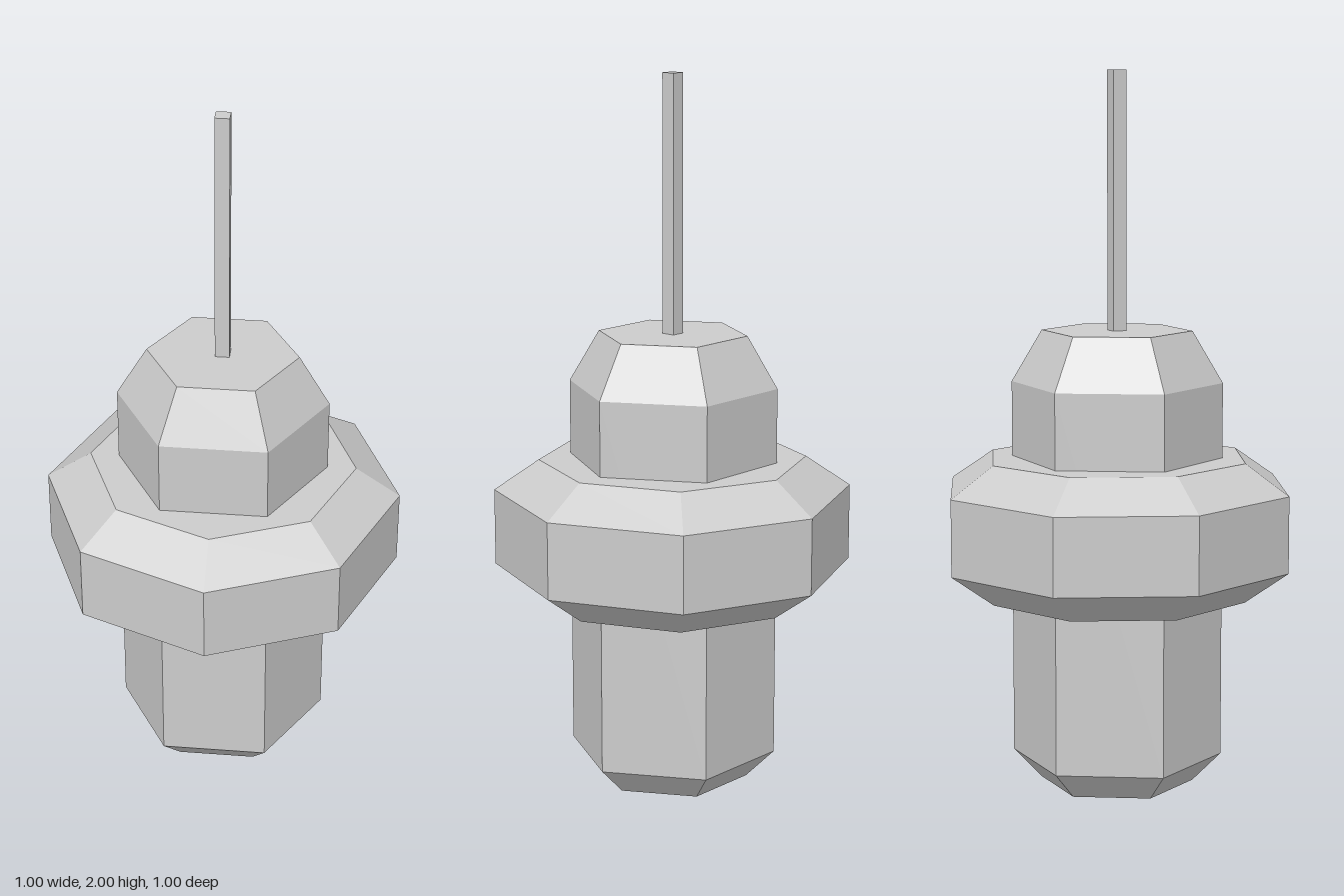
import * as THREE from 'three';

export function createModel() {
  const model = new THREE.Group();
  model.name = 'spaceStation';

  const hull = new THREE.MeshStandardMaterial({ color: 0xcccccc, flatShading: true });
  hull.name = 'light grey hull';

  // Faceted solid turned from [radius, height] pairs, listed bottom to top, with a corner on +x
  function facetedSolid(name, sides, profile) {
    const points = profile.map(([r, y]) => new THREE.Vector2(r, y));
    const geometry = new THREE.LatheGeometry(points, sides);
    geometry.rotateY(Math.PI / 2);
    const mesh = new THREE.Mesh(geometry, hull);
    mesh.name = name;
    model.add(mesh);
  }

  // Six-sided core with bevelled ends
  facetedSolid('coreBody', 6, [
    [0, 0], [0.215, 0], [0.295, 0.08], [0.295, 1.14], [0.21, 1.285], [0, 1.285],
  ]);

  // Eight-sided ring around the core, bevelled above and below
  facetedSolid('ring', 8, [
    [0, 0.54], [0.375, 0.54], [0.5, 0.63], [0.5, 0.845], [0.375, 0.93], [0, 0.93],
  ]);

  // Thin square mast on top
  const mast = new THREE.Mesh(new THREE.BoxGeometry(0.04, 0.72, 0.04), hull);
  mast.name = 'mast';
  mast.position.y = 1.64;
  model.add(mast);

  return model;
}
